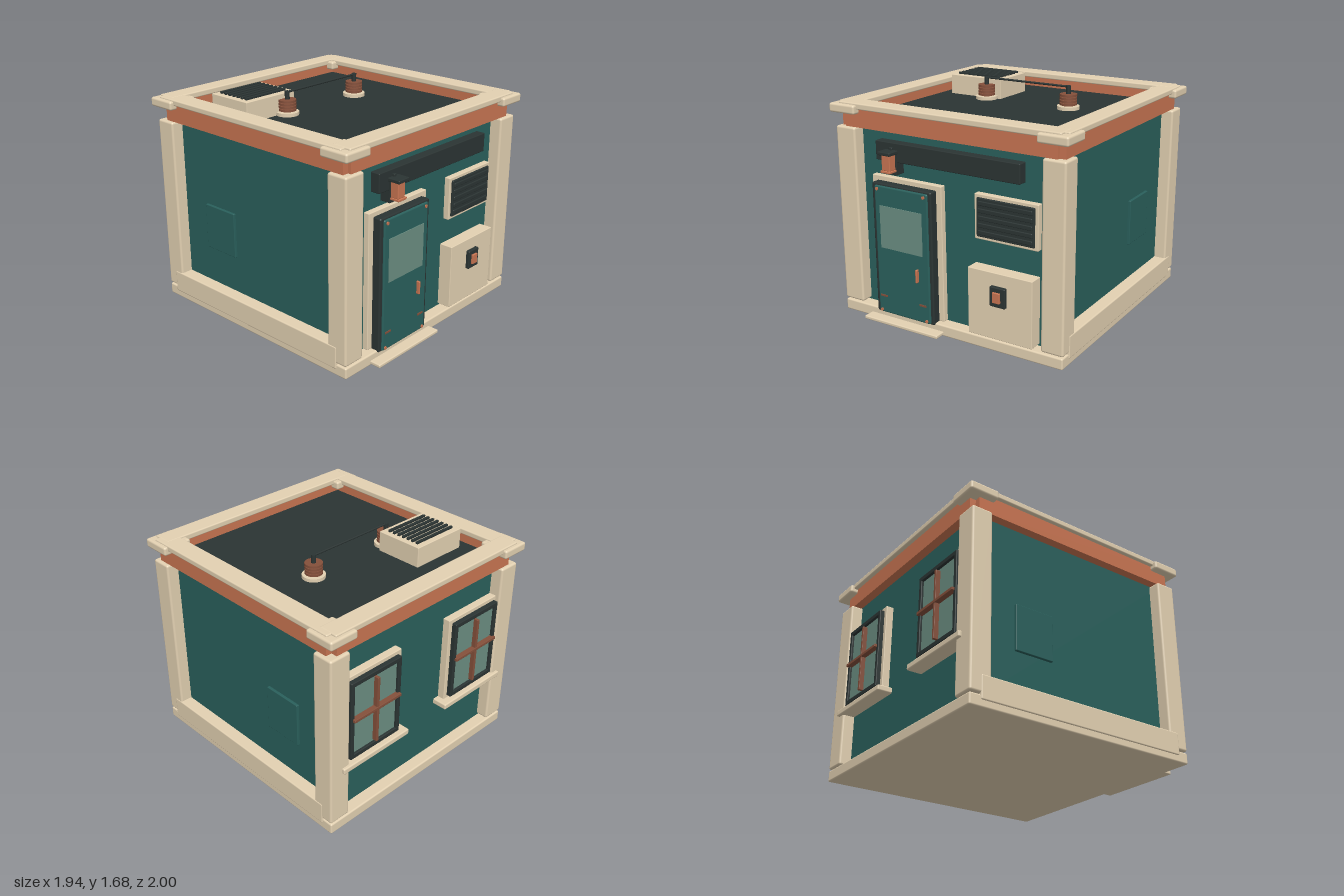
import * as THREE from 'three';
import { RoundedBoxGeometry } from 'three/addons/geometries/RoundedBoxGeometry.js';

const paint = (name, color) => Object.assign(new THREE.MeshStandardMaterial({ color }), { name });

export function createModel() {
  const tan = paint('tan trim', 0xe3d1b2);
  const teal = paint('teal wall', 0x2a605c);
  const copper = paint('copper', 0xc97552);
  const brown = paint('brown copper', 0x85503b);
  const dark = paint('charcoal', 0x2b3433);
  const glass = paint('glass', 0x6b8e82);
  const model = new THREE.Group();
  model.name = 'utilityHut';

  // Box from its limits on each axis, with optional rounded edges
  function box(name, mat, [x0, x1], [y0, y1], [z0, z1], r = 0, parent = model) {
    const w = x1 - x0, h = y1 - y0, d = z1 - z0;
    const geo = r ? new RoundedBoxGeometry(w, h, d, 2, Math.min(r, Math.min(w, h, d) * 0.45))
      : new THREE.BoxGeometry(w, h, d);
    const mesh = new THREE.Mesh(geo, mat);
    mesh.name = name;
    mesh.position.set((x0 + x1) / 2, (y0 + y1) / 2, (z0 + z1) / 2);
    parent.add(mesh);
    return mesh;
  }
  const side = (s, a, b) => (s > 0 ? [a, b] : [-b, -a]);
  const group = (name) => {
    const g = new THREE.Group();
    g.name = name;
    model.add(g);
    return g;
  };

  // Base, walls and roof deck
  box('baseSlab', tan, [-0.94, 0.94], [0, 0.085], [-0.965, 0.915], 0.012);
  box('doorStep', tan, [-0.69, -0.03], [0.01, 0.036], [0.85, 1], 0.008);
  box('walls', teal, [-0.85, 0.85], [0.08, 1.445], [-0.872, 0.822]);
  box('roofDeck', dark, [-0.83, 0.83], [1.44, 1.505], [-0.86, 0.81]);

  for (const s of [1, -1]) {
    // Side skirting, service hatch, copper band and parapet cap
    box('sideSkirting', tan, side(s, 0.84, 0.947), [0.05, 0.22], [-0.88, 0.83], 0.01);
    box('serviceHatch', teal, side(s, 0.84, 0.87), [0.505, 0.85], [-0.555, -0.245], 0.005);
    box('sideBand', copper, side(s, 0.81, 0.915), [1.44, 1.58], [-0.893, 0.865]);
    box('sideCap', tan, side(s, 0.79, 0.943), [1.575, 1.619], [-0.93, 0.87], 0.01);

    // Corner posts and corner caps
    for (const [z0, z1, c0, c1] of [[0.752, 0.915, 0.715, 0.946], [-0.965, -0.802, -1, -0.77]]) {
      box('cornerPost', tan, side(s, 0.77, 0.943), [0.095, 1.44], [z0, z1], 0.016);
      box('cornerCap', tan, side(s, 0.742, 0.972), [1.541, 1.608], [c0, c1], 0.016);
    }
  }
  box('frontBand', copper, [-0.868, 0.868], [1.44, 1.58], [0.785, 0.89]);
  box('backBand', copper, [-0.868, 0.868], [1.44, 1.58], [-0.94, -0.835]);
  box('frontCap', tan, [-0.905, 0.905], [1.575, 1.621], [0.765, 0.915], 0.01);
  box('backCap', tan, [-0.905, 0.905], [1.575, 1.621], [-0.972, -0.825], 0.01);

  // Door with surround, window, handle and rivets
  const door = group('door');
  box('doorSurround', tan, [-0.665, -0.056], [0.085, 1.105], [0.81, 0.865], 0.006, door);
  box('doorFrame', dark, [-0.62, -0.1], [0.07, 1.07], [0.85, 0.928], 0.012, door);
  box('doorLeaf', teal, [-0.592, -0.125], [0.075, 1.055], [0.88, 0.94], 0.012, door);
  box('doorWindow', glass, [-0.545, -0.175], [0.59, 0.91], [0.937, 0.945], 0, door);
  box('doorHandle', copper, [-0.231, -0.215], [0.385, 0.485], [0.93, 0.965], 0.006, door);
  for (const x of [-0.54, -0.185]) {
    box('doorHinge', brown, [x - 0.03, x + 0.03], [0.205, 0.218], [0.93, 0.946], 0, door);
  }
  for (const x of [-0.565, -0.155]) {
    for (const y of [0.095, 1.03]) {
      const rivet = new THREE.Mesh(new THREE.CylinderGeometry(0.012, 0.012, 0.014, 12), copper);
      rivet.name = 'doorRivet';
      rivet.rotation.x = Math.PI / 2;
      rivet.position.set(x, y, 0.94);
      door.add(rivet);
    }
  }

  // Blank board and lantern over the door
  box('signBoard', dark, [-0.6, 0.595], [1.23, 1.37], [0.81, 0.892], 0.006);
  const lamp = group('wallLamp');
  box('lampPlate', dark, [-0.5, -0.41], [1.14, 1.3], [0.81, 0.903], 0.004, lamp);
  box('lampBody', copper, [-0.492, -0.42], [1.18, 1.3], [0.89, 0.965], 0.006, lamp);
  box('lampFoot', copper, [-0.498, -0.412], [1.165, 1.182], [0.88, 0.975], 0.004, lamp);
  box('lampCap', dark, [-0.51, -0.402], [1.295, 1.32], [0.87, 0.985], 0.006, lamp);
  box('lampKnob', dark, [-0.468, -0.442], [1.315, 1.338], [0.87, 0.91], 0.004, lamp);

  // Front louvre
  const louvre = group('louvre');
  box('louvreFrame', tan, [0.22, 0.72], [0.785, 1.108], [0.81, 0.866], 0.006, louvre);
  box('louvrePanel', dark, [0.243, 0.696], [0.808, 1.085], [0.85, 0.88], 0.006, louvre);
  for (let i = 0; i < 5; i++) {
    const y = 0.841 + i * 0.052;
    box('louvreSlat', dark, [0.256, 0.684], [y - 0.016, y + 0.016], [0.87, 0.888], 0.006, louvre);
  }

  // Electrical cabinet and its latch
  box('cabinet', tan, [0.197, 0.711], [0.1, 0.592], [0.81, 0.926], 0.005);
  box('latchPlate', dark, [0.39, 0.513], [0.355, 0.5], [0.91, 0.953], 0.008);
  box('latch', copper, [0.42, 0.479], [0.39, 0.466], [0.94, 0.968], 0.004);

  // Back windows with four panes and a sill
  for (const s of [1, -1]) {
    const win = group('backWindow');
    const cx = 0.518 * s;
    const span = (h) => [cx - h, cx + h];
    box('windowSurround', tan, span(0.27), [0.52, 1.212], [-0.928, -0.86], 0.006, win);
    box('windowGlass', glass, span(0.21), [0.58, 1.16], [-0.945, -0.937], 0, win);
    for (const t of [1, -1]) {
      const x = cx + 0.222 * t;
      box('windowStile', dark, [x - 0.016, x + 0.016], [0.555, 1.182], [-0.964, -0.915], 0.006, win);
    }
    for (const y of [0.573, 1.164]) {
      box('windowRail', dark, span(0.238), [y - 0.018, y + 0.018], [-0.964, -0.915], 0.006, win);
    }
    box('verticalBar', brown, span(0.011), [0.602, 1.13], [-0.981, -0.935], 0.003, win);
    box('horizontalBar', brown, span(0.224), [0.872, 0.895], [-0.985, -0.935], 0.003, win);
    box('windowSill', tan, span(0.32), [0.49, 0.535], [-0.987, -0.86], 0.01, win);
  }

  // Rooftop vent
  const vent = group('roofVent');
  box('ventBox', tan, [-0.725, -0.26], [1.5, 1.658], [-0.595, -0.22], 0.005, vent);
  for (let i = 0; i < 7; i++) {
    const z = -0.54 + i * 0.044;
    box('ventSlat', dark, [-0.685, -0.3], [1.65, 1.674], [z - 0.01, z + 0.01], 0.003, vent);
  }

  // Ribbed insulators joined by a rod
  const turned = (name, mat, r, y0, y1, x, parent) => {
    const m = new THREE.Mesh(new THREE.CylinderGeometry(r, r, y1 - y0, 24), mat);
    m.name = name;
    m.position.set(x, (y0 + y1) / 2, -0.185);
    parent.add(m);
    return m;
  };
  for (const x of [-0.364, 0.36]) {
    const ins = group('insulator');
    turned('insulatorBase', tan, 0.085, 1.5, 1.53, x, ins);
    turned('insulatorCore', brown, 0.045, 1.52, 1.618, x, ins);
    for (let i = 0; i < 4; i++) {
      turned('insulatorRib', brown, 0.065, 1.537 + i * 0.022, 1.553 + i * 0.022, x, ins);
    }
    turned('insulatorPin', dark, 0.018, 1.6, 1.68, x, ins);
  }
  const rod = turned('connectingRod', dark, 0.008, 0, 0.724, -0.002, model);
  rod.rotation.z = Math.PI / 2;
  rod.position.y = 1.672;

  return model;
}
